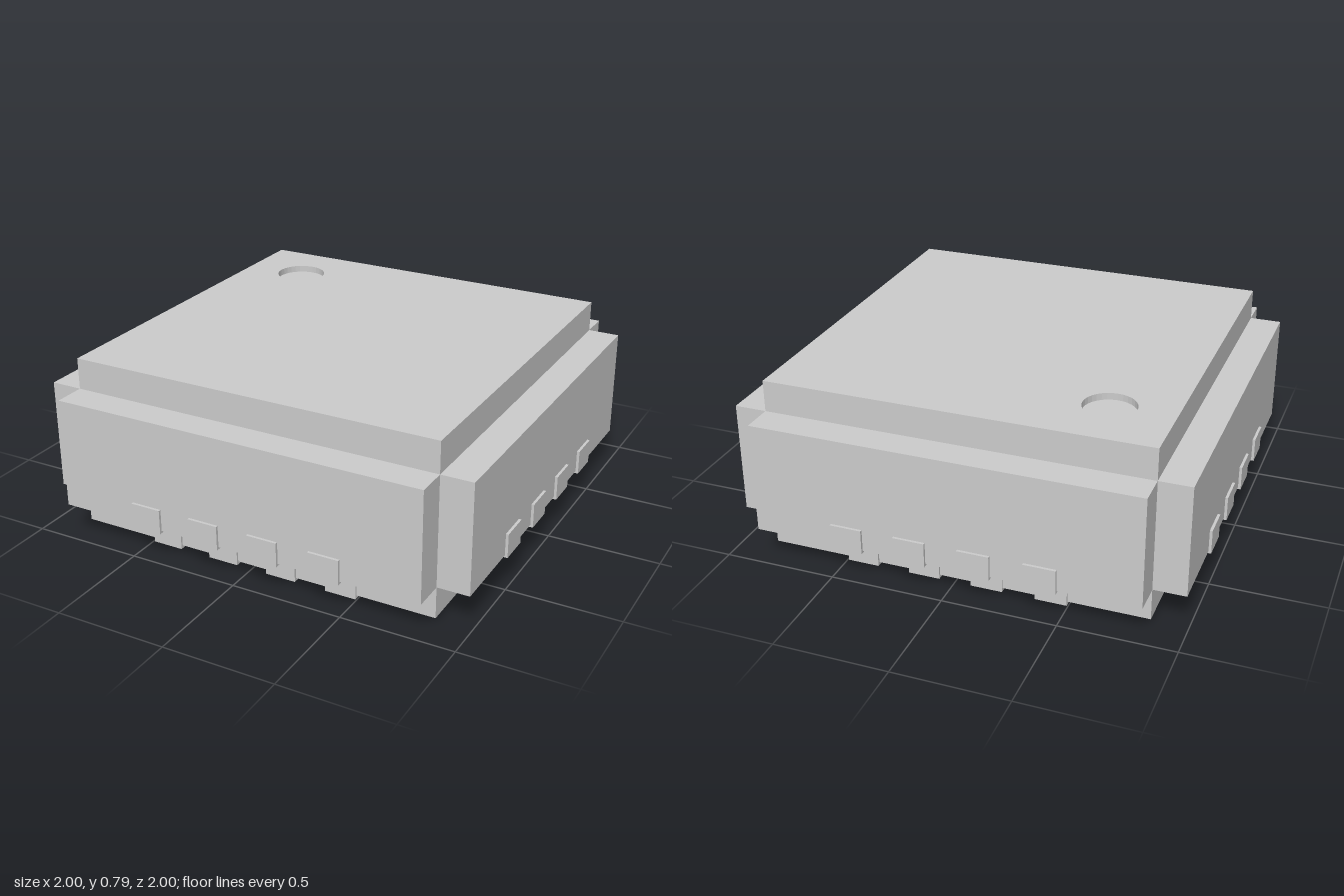
import * as THREE from 'three';

const mat = new THREE.MeshStandardMaterial({ color: 0xcccccc });

function add(parent, name, geometry) {
  const mesh = new THREE.Mesh(geometry, mat);
  mesh.name = name;
  parent.add(mesh);
  return mesh;
}

// Box given by its minimum and maximum corners
function box(parent, name, a, b) {
  const mesh = add(parent, name, new THREE.BoxGeometry(b[0] - a[0], b[1] - a[1], b[2] - a[2]));
  mesh.position.set((a[0] + b[0]) / 2, (a[1] + b[1]) / 2, (a[2] + b[2]) / 2);
  return mesh;
}

// Flat plate: outline in (x, -z), rising from y0 to y1
function plate(parent, name, shape, y0, y1) {
  const geometry = new THREE.ExtrudeGeometry(shape, { depth: y1 - y0, bevelEnabled: false, curveSegments: 16 });
  geometry.rotateX(-Math.PI / 2);
  const mesh = add(parent, name, geometry);
  mesh.position.y = y0;
  return mesh;
}

const CORE = 0.846, SIDE = 0.988, LOW = 0.156, HIGH = 0.65, BOTTOM = 0.014, TOP = 0.79;
const DIMPLE = 0.03, SKIN = 0.01, HALF = 0.07;

// Contact pad under the core, with rounded inner corners
function padShape() {
  const outer = -CORE - SKIN, inner = -0.62, r = 0.05;
  const s = new THREE.Shape();
  s.moveTo(-HALF, outer);
  s.lineTo(HALF, outer);
  s.lineTo(HALF, inner - r);
  s.absarc(HALF - r, inner - r, r, 0, Math.PI / 2, false);
  s.absarc(-HALF + r, inner - r, r, Math.PI / 2, Math.PI, false);
  s.closePath();
  return s;
}

// One lead on the front side, stepping from the side face down to the underside
function makeLead(x) {
  const lead = new THREE.Group();
  lead.name = 'lead';
  lead.position.x = x;
  box(lead, 'leadSideFace', [-HALF, LOW - SKIN, SIDE - 0.02], [HALF, 0.256, 1]);
  box(lead, 'leadShelf', [-HALF, LOW - SKIN, CORE - 0.02], [HALF, LOW + 0.02, SIDE]);
  box(lead, 'leadRiser', [-HALF, 0.005, CORE - 0.02], [HALF, LOW, CORE + SKIN]);
  plate(lead, 'leadPad', padShape(), 0, BOTTOM + 0.005);
  return lead;
}

export function createModel() {
  const model = new THREE.Group();
  model.name = 'chipPackage';

  // Core block and its lid with the orientation dimple
  box(model, 'core', [-CORE, BOTTOM, -CORE], [CORE, TOP - DIMPLE, CORE]);
  const lid = new THREE.Shape([[-1, -1], [1, -1], [1, 1], [-1, 1]]
    .map(([x, y]) => new THREE.Vector2(x * CORE, y * CORE)));
  const hole = new THREE.Path();
  hole.absarc(-0.566, 0.566, 0.114, 0, Math.PI * 2, true);
  lid.holes.push(hole);
  plate(model, 'lid', lid, TOP - DIMPLE, TOP);

  // Thermal pad in the middle of the underside
  box(model, 'thermalPad', [-0.41, 0.003, -0.41], [0.41, BOTTOM + 0.01, 0.41]);

  // Four equal sides, each a raised slab with four leads
  for (let i = 0; i < 4; i++) {
    const side = new THREE.Group();
    side.name = 'side';
    side.rotation.y = i * Math.PI / 2;
    box(side, 'sideSlab', [-CORE, LOW, CORE - 0.01], [CORE, HIGH, SIDE]);
    for (const x of [-0.424, -0.141, 0.141, 0.424]) side.add(makeLead(x));
    model.add(side);
  }
  return model;
}
